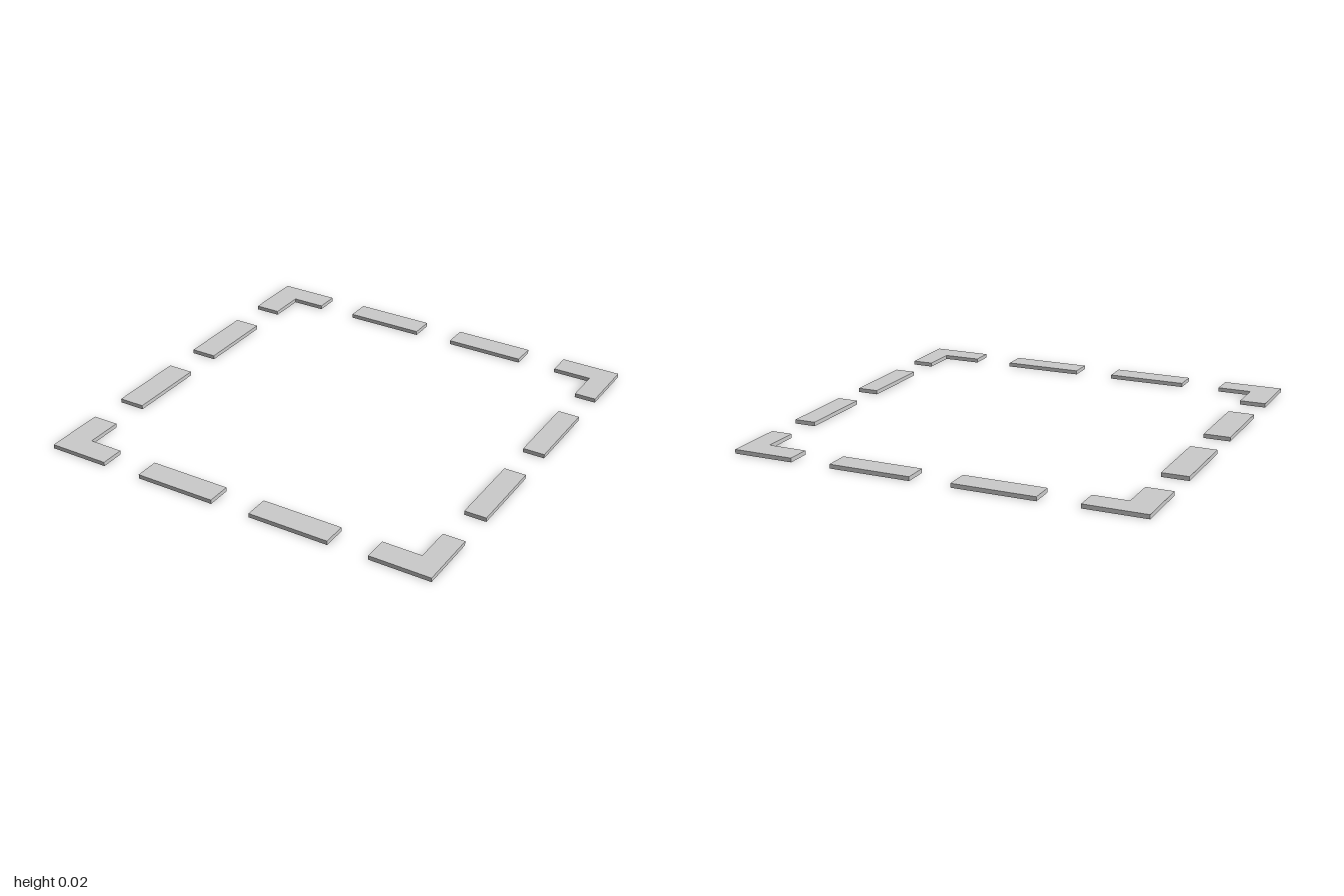
import * as THREE from 'three';

const HEIGHT = 0.02;
const LEFT_W = 0.107, RIGHT_W = 0.13, END_W = 0.118; // band widths of the border
const ARM = 0.7; // where the corner arms end

export function createModel() {
  const group = new THREE.Group();
  const material = new THREE.MeshStandardMaterial({ color: 0xcccccc, flatShading: true });

  const add = (name, geometry) => {
    const mesh = new THREE.Mesh(geometry, material);
    mesh.name = name;
    group.add(mesh);
    return mesh;
  };

  for (const sx of [-1, 1]) {
    const sideW = sx > 0 ? LEFT_W : RIGHT_W;
    const side = sx > 0 ? 'Left' : 'Right';

    for (const sz of [-1, 1]) {
      const end = sz > 0 ? 'front' : 'back';

      // L-shaped corner plate
      const outline = [
        [1, 1], [ARM, 1], [ARM, 1 - END_W],
        [1 - sideW, 1 - END_W], [1 - sideW, ARM], [1, ARM],
      ].map(([x, z]) => new THREE.Vector2(sx * x, -sz * z));
      const corner = new THREE.ExtrudeGeometry(new THREE.Shape(outline), { depth: HEIGHT, bevelEnabled: false });
      add(`${end}${side}Corner`, corner.rotateX(-Math.PI / 2));

      // Dash on the front or back edge
      add(`${end}EdgeDash${side}`, new THREE.BoxGeometry(0.4, HEIGHT, END_W))
        .position.set(sx * 0.3, HEIGHT / 2, sz * (1 - END_W / 2));

      // Dash on the left or right edge
      add(`${end}${side}SideDash`, new THREE.BoxGeometry(sideW, HEIGHT, 0.4))
        .position.set(sx * (1 - sideW / 2), HEIGHT / 2, sz * 0.3);
    }
  }
  return group;
}
